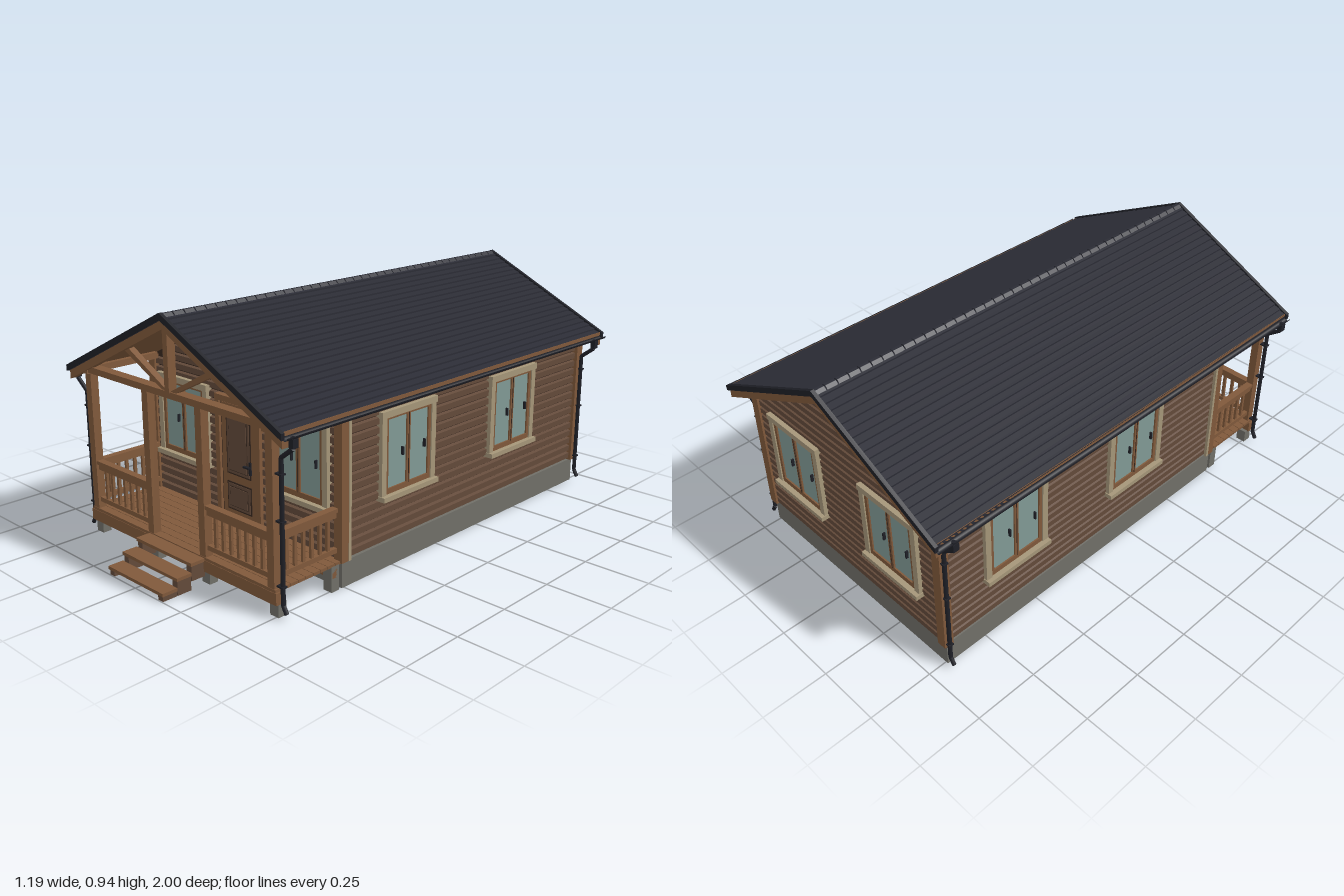
import * as THREE from 'three';
import { mergeGeometries } from 'three/addons/utils/BufferGeometryUtils.js';

const mat = (name, color, side = THREE.FrontSide) => {
  const m = new THREE.MeshStandardMaterial({ color, side });
  m.name = name;
  return m;
};

const SLOPE = 0.487, RIDGE = 0.93;
const roofY = x => RIDGE - SLOPE * Math.abs(x);

export function createModel() {
  const siding = mat('siding brown', 0x634a3a);
  const groove = mat('groove brown', 0x38281f);
  const timber = mat('timber brown', 0x80593b);
  const trim = mat('trim beige', 0xa59679);
  const glass = mat('glass green', 0x819a95);
  const concrete = mat('concrete grey', 0x706f68);
  const tile = mat('roof slate', 0x2b2c35);
  const metal = mat('dark metal', 0x1f2027, THREE.DoubleSide);

  const model = new THREE.Group();
  model.name = 'house';
  const add = (parent, name, geo, m) => {
    const mesh = new THREE.Mesh(geo, m);
    mesh.name = name;
    parent.add(mesh);
    return mesh;
  };
  const box = (parent, name, m, x0, x1, y0, y1, z0, z1) => {
    const b = add(parent, name, new THREE.BoxGeometry(x1 - x0, y1 - y0, z1 - z0), m);
    b.position.set((x0 + x1) / 2, (y0 + y1) / 2, (z0 + z1) / 2);
    return b;
  };
  const prism = (parent, name, m, pts, z0, z1) => {
    const shape = new THREE.Shape(pts.map(p => new THREE.Vector2(p[0], p[1])));
    const geo = new THREE.ExtrudeGeometry(shape, { depth: z1 - z0, bevelEnabled: false });
    return add(parent, name, geo.translate(0, 0, z0), m);
  };
  const pipe = (parent, name, m, a, b, r) => {
    const va = new THREE.Vector3(...a), vb = new THREE.Vector3(...b);
    const p = add(parent, name, new THREE.CylinderGeometry(r, r, va.distanceTo(vb), 8), m);
    p.position.copy(va).lerp(vb, 0.5);
    p.quaternion.setFromUnitVectors(new THREE.Vector3(0, 1, 0), vb.sub(va).normalize());
  };
  const group = name => {
    const g = new THREE.Group();
    g.name = name;
    model.add(g);
    return g;
  };

  // Foundation and the dark wall core that shows between the boards
  box(model, 'foundation', concrete, -0.51, 0.51, 0, 0.097, -0.925, 0.51);
  prism(model, 'wallCore', groove, [[-0.497, 0.097], [0.497, 0.097], [0.497, roofY(0.497) - 0.035],
    [0, RIDGE - 0.035], [-0.497, roofY(0.497) - 0.035]], -0.92, 0.5);

  // Horizontal siding, with boards shortened under the gables
  const H = 0.034;
  const profile = new THREE.Shape([[0, 0.002], [0.012, 0.007], [0.012, 0.029], [0, 0.033]]
    .map(p => new THREE.Vector2(...p)));
  const wall = (name, length, rows, x, z, turn) => {
    const boards = [];
    for (let i = 0; i < rows; i++) {
      const y = 0.098 + i * H;
      const len = length > 1.1 ? length : Math.min(length, 2 * (RIDGE - 0.04 - y - H) / SLOPE);
      if (len < 0.03) break;
      boards.push(new THREE.ExtrudeGeometry(profile, { depth: len, bevelEnabled: false }).translate(0, y, -len / 2));
    }
    const w = add(model, name, mergeGeometries(boards), siding);
    w.position.set(x, 0, z);
    w.rotation.y = turn;
  };
  wall('frontSiding', 1.0, 23, 0, 0.5, -Math.PI / 2);
  wall('backSiding', 1.0, 23, 0, -0.92, Math.PI / 2);
  wall('leftSiding', 1.42, 16, 0.497, -0.21, 0);
  wall('rightSiding', 1.42, 16, -0.497, -0.21, Math.PI);

  // Corner boards
  for (const s of [-1, 1]) {
    for (const [z0, z1] of [[0.482, 0.52], [-0.94, -0.902]]) {
      const a = s * 0.482, b = s * 0.52;
      box(model, 'cornerBoard', timber, Math.min(a, b), Math.max(a, b), 0.097, 0.65, z0, z1);
    }
    box(model, 'cornerStrip', trim, s * 0.516 - 0.006, s * 0.516 + 0.006, 0.097, 0.64, 0.475, 0.487);
  }

  // Double casement windows
  const makeWindow = (x, z, turn) => {
    const w = group('window');
    w.position.set(x, 0, z);
    w.rotation.y = turn;
    box(w, 'glass', glass, -0.11, 0.11, 0.3, 0.56, -0.01, 0.004);
    for (const s of [-1, 1]) {
      box(w, 'sideCasing', trim, s * 0.133 - 0.012, s * 0.133 + 0.012, 0.28, 0.57, -0.01, 0.015);
      box(w, 'sideFrame', timber, s * 0.1145 - 0.0075, s * 0.1145 + 0.0075, 0.29, 0.568, -0.01, 0.01);
    }
    box(w, 'header', trim, -0.148, 0.148, 0.566, 0.59, -0.01, 0.018);
    box(w, 'sill', trim, -0.148, 0.148, 0.265, 0.283, -0.01, 0.03);
    box(w, 'lowerFrame', timber, -0.12, 0.12, 0.283, 0.303, -0.01, 0.01);
    box(w, 'upperFrame', timber, -0.12, 0.12, 0.556, 0.568, -0.01, 0.01);
    box(w, 'mullion', timber, -0.009, 0.009, 0.3, 0.56, -0.01, 0.01);
    box(w, 'mullionGap', groove, -0.001, 0.001, 0.3, 0.56, 0, 0.012);
    for (const hx of [-0.031, 0.088]) box(w, 'windowHandle', metal, hx - 0.003, hx + 0.003, 0.41, 0.44, 0, 0.014);
  };
  for (const s of [-1, 1]) {
    makeWindow(s * 0.311, 0.512, 0);
    makeWindow(s * 0.265, -0.932, Math.PI);
  }
  for (const z of [0.18, -0.445]) makeWindow(0.509, z, Math.PI / 2);
  for (const z of [0.01, -0.6]) makeWindow(-0.509, z, -Math.PI / 2);

  // Panelled front door and wall lamp
  const door = group('door');
  box(door, 'doorLeaf', timber, -0.092, 0.092, 0.108, 0.545, 0.5, 0.518);
  box(door, 'doorGap', groove, -0.098, 0.098, 0.106, 0.549, 0.5, 0.515);
  for (const s of [-1, 1]) box(door, 'doorJamb', timber, s * 0.109 - 0.011, s * 0.109 + 0.011, 0.105, 0.57, 0.5, 0.526);
  box(door, 'doorHead', timber, -0.12, 0.12, 0.55, 0.572, 0.5, 0.527);
  for (const [y0, y1] of [[0.275, 0.51], [0.135, 0.245]]) {
    box(door, 'panelGroove', groove, -0.066, 0.066, y0, y1, 0.51, 0.52);
    box(door, 'doorPanel', siding, -0.06, 0.06, y0 + 0.006, y1 - 0.006, 0.51, 0.522);
    box(door, 'panelInnerGroove', groove, -0.05, 0.05, y0 + 0.016, y1 - 0.016, 0.51, 0.523);
    box(door, 'panelField', siding, -0.047, 0.047, y0 + 0.019, y1 - 0.019, 0.51, 0.525);
  }
  box(door, 'handlePlate', metal, 0.058, 0.068, 0.295, 0.345, 0.515, 0.524);
  box(door, 'doorHandle', metal, 0.038, 0.068, 0.323, 0.329, 0.524, 0.536);
  box(model, 'lamp', metal, 0.09, 0.12, 0.58, 0.628, 0.51, 0.555);

  // Porch deck, beams and piers
  const porch = group('porch');
  for (let i = 0; i < 9; i++) {
    const z = 0.51 + i * 0.0345;
    box(porch, 'deckBoard', timber, -0.51, 0.51, 0.093, 0.104, z, z + 0.0325);
  }
  box(porch, 'frontBeam', timber, -0.515, 0.515, 0.05, 0.093, 0.785, 0.82);
  box(porch, 'rearBeam', timber, -0.51, 0.51, 0.05, 0.093, 0.53, 0.555);
  for (const x of [-0.49, -0.145, 0.145, 0.49])
    for (const z of [0.542, 0.788]) box(porch, 'pier', concrete, x - 0.02, x + 0.02, 0, z > 0.7 ? 0.052 : 0.095, z - 0.018, z + 0.018);
  for (const x of [-0.488, -0.145, 0.145, 0.488])
    box(porch, 'post', timber, x - 0.016, x + 0.016, 0.1, 0.648, 0.785, 0.817);
  for (const x of [-0.488, 0.488]) box(porch, 'plateBeam', timber, x - 0.016, x + 0.016, 0.635, 0.66, 0.51, 0.83);
  box(porch, 'tieBeam', timber, -0.525, 0.525, 0.64, 0.664, 0.785, 0.825);

  // Railings, built along x and turned for the sides
  const railing = (x, z, length, turn) => {
    const r = new THREE.Group();
    r.name = 'railing';
    r.position.set(x, 0, z);
    r.rotation.y = turn;
    porch.add(r);
    const h = length / 2;
    box(r, 'handrail', timber, -h, h, 0.28, 0.294, -0.014, 0.014);
    box(r, 'upperRail', timber, -h, h, 0.258, 0.28, -0.007, 0.007);
    box(r, 'lowerRail', timber, -h, h, 0.13, 0.148, -0.008, 0.008);
    const n = Math.round(length / 0.037);
    for (let i = 1; i < n; i++) {
      const bx = -h + length * i / n;
      box(r, 'baluster', timber, bx - 0.006, bx + 0.006, 0.148, 0.258, -0.005, 0.005);
    }
  };
  for (const s of [-1, 1]) {
    railing(s * 0.3165, 0.8, 0.311, 0);
    railing(s * 0.488, 0.652, 0.266, Math.PI / 2);
  }

  // Front steps on two stepped stringers
  const steps = group('steps');
  for (let i = 0; i < 3; i++) {
    const z = 0.815 + i * 0.0617, y = 0.1 - i * 0.034;
    box(steps, 'tread', timber, -0.155, 0.155, y - 0.012, y, z, z + 0.0617);
    for (const x of [-0.138, 0.138]) box(steps, 'stringer', siding, x - 0.013, x + 0.013, Math.max(0, y - 0.068), y - 0.012, z, z + 0.058);
  }

  // Roof: stepped tile courses over timber boarding, with barge boards
  const roof = group('roof');
  const strip = (name, m, s, x0, x1, top, bottom, z0, z1) => prism(roof, name, m,
    [[s * x0, roofY(x0) + top], [s * x1, roofY(x1) + top], [s * x1, roofY(x1) + bottom], [s * x0, roofY(x0) + bottom]], z0, z1);
  const courses = 22, EAVE = 0.572;
  for (const s of [-1, 1]) {
    const pts = [[0, RIDGE - 0.018], [0, RIDGE - 0.002]];
    for (let i = 1; i <= courses; i++) {
      const x = EAVE * i / courses;
      pts.push([s * x, roofY(x) + 0.003], [s * x, roofY(x) - 0.003]);
    }
    pts.push([s * EAVE, roofY(EAVE) - 0.018]);
    prism(roof, 'roofTiles', tile, pts, -0.992, 0.842);
    strip('roofBoarding', timber, s, 0, 0.56, -0.018, -0.03, -0.985, 0.835);
    for (const [z0, z1] of [[0.81, 0.838], [-0.99, -0.965]])
      strip('bargeBoard', timber, s, 0, 0.572, -0.016, -0.05, z0, z1);
    for (const [z0, z1] of [[0.834, 0.848], [-0.998, -0.984]])
      strip('vergeTrim', metal, s, 0, 0.58, 0.007, -0.016, z0, z1);
    box(roof, 'fascia', timber, s * 0.566 - 0.006, s * 0.566 + 0.006, 0.632, 0.655, -0.988, 0.836);

    // Gable truss brace
    const d = [[0.0, 0.66], [0.03, 0.66], [0.275, 0.78], [0.255, 0.795]].map(p => [s * p[0], p[1]]);
    prism(roof, 'trussBrace', timber, d, 0.795, 0.82);

    // Half-round gutter and downpipes
    const gutter = add(roof, 'gutter', new THREE.CylinderGeometry(0.012, 0.012, 1.83, 10, 1, true, Math.PI / 2, Math.PI), metal);
    gutter.rotation.x = Math.PI / 2;
    gutter.rotation.y = 0;
    gutter.position.set(s * 0.584, 0.641, -0.077);
    gutter.geometry.rotateY(Math.PI);
    for (const z of [0.8, -0.925]) {
      const path = [[0.582, 0.635], [0.582, 0.597], [0.527, 0.555], [0.527, 0.05], [0.543, 0.022]];
      for (let i = 0; i < 4; i++)
        pipe(roof, 'downpipe', metal, [s * path[i][0], path[i][1], z], [s * path[i + 1][0], path[i + 1][1], z], 0.008);
      box(roof, 'gutterOutlet', metal, s * 0.583 - 0.01, s * 0.583 + 0.01, 0.6, 0.63, z - 0.012, z + 0.012);
      for (const y of [0.115, 0.34, 0.5])
        box(roof, 'pipeClip', metal, s * 0.522 - 0.015, s * 0.522 + 0.015, y - 0.003, y + 0.003, z - 0.01, z + 0.01);
    }
  }
  box(roof, 'kingPost', timber, -0.012, 0.012, 0.66, 0.9, 0.795, 0.828);
  for (let i = 0; i < 40; i++) {
    const z = -0.99 + i * 0.0458;
    prism(roof, 'ridgeCap', tile, [[-0.022, RIDGE - 0.012], [0.022, RIDGE - 0.012], [0.006, RIDGE + 0.004], [-0.006, RIDGE + 0.004]], z, z + 0.041);
  }
  return model;
}
